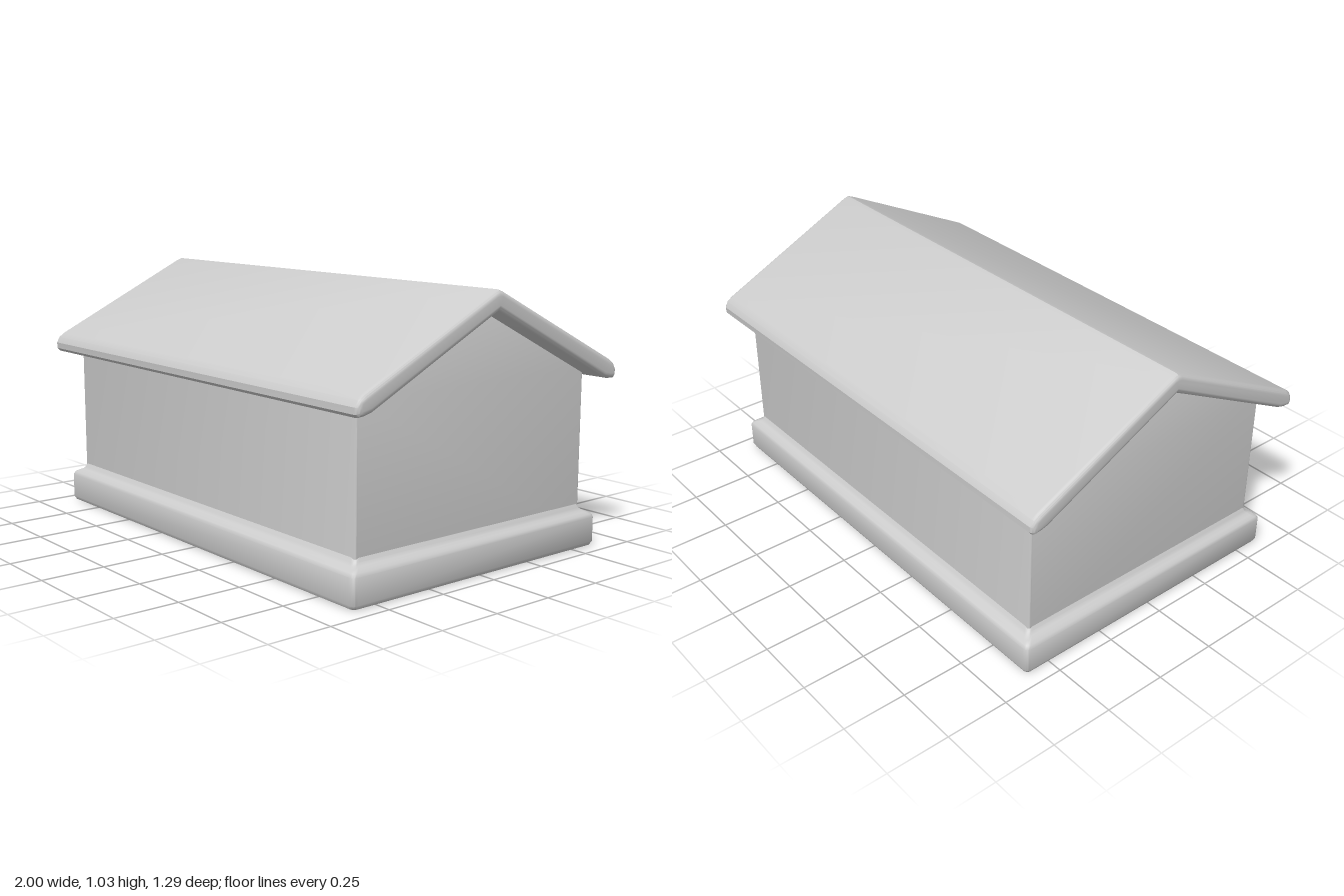
import * as THREE from 'three';
import { toCreasedNormals } from 'three/addons/utils/BufferGeometryUtils.js';

const material = new THREE.MeshStandardMaterial({ color: 0xcccccc });

function addPart(group, name, geometry, crease = 0.5) {
  const mesh = new THREE.Mesh(toCreasedNormals(geometry, crease), material);
  mesh.name = name;
  group.add(mesh);
}

// Mirrors a half outline of [z, y] points and extrudes it along x with rounded ends.
function gablePrism(half, length, bevel) {
  const mirrored = half.filter(([z]) => z > 0).map(([z, y]) => [-z, y]).reverse();
  const shape = new THREE.Shape([...half, ...mirrored].map(([z, y]) => new THREE.Vector2(z, y)));
  const depth = length - 2 * bevel;
  const geometry = new THREE.ExtrudeGeometry(shape, {
    depth, bevelThickness: bevel, bevelSize: bevel, bevelOffset: -bevel, bevelSegments: 5,
  });
  return geometry.translate(0, 0, -depth / 2).rotateY(Math.PI / 2);
}

// Stacks rounded rectangles; each profile entry is [height, outward offset].
function moulding(halfX, halfZ, radius, profile) {
  const positions = [], index = [], steps = 5, count = 4 * (steps + 1);
  for (const [y, offset] of profile) {
    for (let corner = 0; corner < 4; corner++) {
      const sx = corner === 0 || corner === 3 ? 1 : -1;
      const sz = corner < 2 ? 1 : -1;
      for (let s = 0; s <= steps; s++) {
        const a = (corner + s / steps) * Math.PI / 2;
        positions.push(
          sx * (halfX + offset - radius) + radius * Math.cos(a), y,
          sz * (halfZ + offset - radius) + radius * Math.sin(a));
      }
    }
  }
  for (let i = 0; i < profile.length - 1; i++) {
    for (let j = 0; j < count; j++) {
      const p = i * count + j, next = i * count + (j + 1) % count;
      index.push(p, p + count, next, next, p + count, next + count);
    }
  }
  // Flat underside
  const centre = positions.length / 3;
  positions.push(0, profile[0][0], 0);
  for (let j = 0; j < count; j++) index.push(centre, j, (j + 1) % count);

  const geometry = new THREE.BufferGeometry();
  geometry.setAttribute('position', new THREE.Float32BufferAttribute(positions, 3));
  geometry.setIndex(index);
  return geometry;
}

export function createModel() {
  const model = new THREE.Group();
  model.name = 'gabledHouse';

  // Plinth with a rounded foot and a cove running up into the walls
  addPart(model, 'plinth', moulding(0.903, 0.567, 0.018, [
    [0, 0.028], [0.004, 0.038], [0.018, 0.045], [0.115, 0.045], [0.127, 0.039],
    [0.135, 0.026], [0.141, 0.014], [0.15, 0.005], [0.165, 0], [0.172, -0.006],
  ]), 0.7);

  // Walls, reaching slightly into the roof
  addPart(model, 'walls', gablePrism([[0, 0.985], [0.567, 0.7], [0.567, 0.05]], 1.806, 0.012));

  // Roof slab with rounded ridge and eaves
  addPart(model, 'roof', gablePrism([
    [0, 1.029], [0.02, 1.022], [0.61, 0.733], [0.632, 0.717], [0.644, 0.694],
    [0.643, 0.67], [0.632, 0.658], [0.605, 0.66], [0.575, 0.668], [0, 0.953],
  ], 2, 0.02));

  return model;
}
